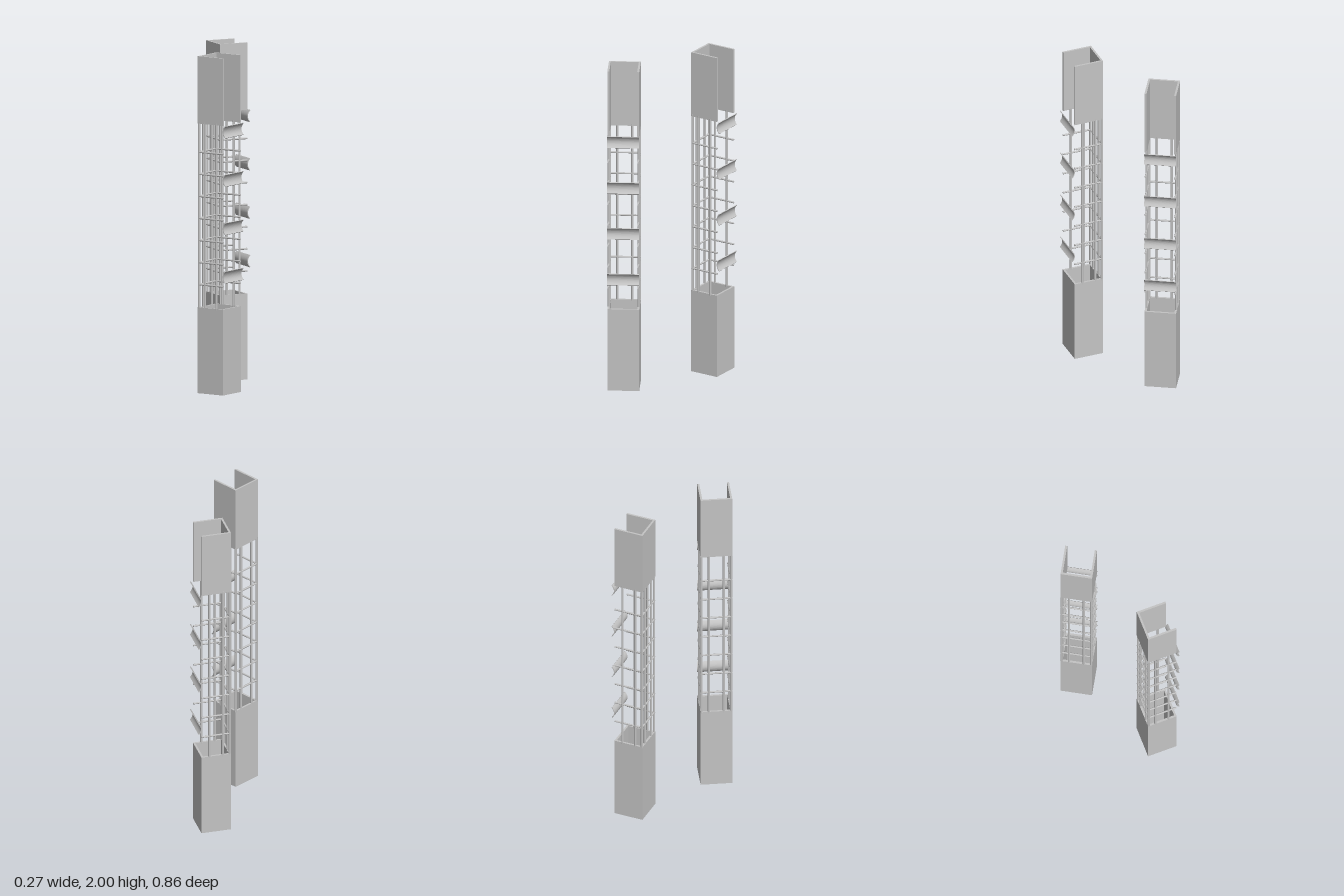
import * as THREE from 'three';

const DEPTH = 0.18, WIDTH = 0.188, WALL = 0.012;
const LOW_TOP = 0.51, HIGH_BASE = 1.6, TOP = 2;

export function createModel() {
  const grey = new THREE.MeshStandardMaterial({ color: 0xc4c4c4 });
  grey.name = 'lightGrey';

  const add = (parent, name, geometry, x = 0, y = 0, z = 0) => {
    const mesh = new THREE.Mesh(geometry, grey);
    mesh.name = name;
    mesh.position.set(x, y, z);
    parent.add(mesh);
  };

  // Extrude a plan outline (x, z) upwards from y0 to y1
  const upright = (shape, y0, y1) => {
    const g = new THREE.ExtrudeGeometry(shape, { depth: y1 - y0, bevelEnabled: false });
    return g.rotateX(-Math.PI / 2).translate(0, y0, 0);
  };
  const outline = (points) => points.map(([x, z]) => new THREE.Vector2(x, z));

  const a = DEPTH / 2, b = WIDTH / 2, ia = a - WALL, ib = b - WALL;

  // Closed square tube for the base
  const tube = new THREE.Shape(outline([[-a, -b], [a, -b], [a, b], [-a, b]]));
  tube.holes.push(new THREE.Path(outline([[-ia, -ib], [-ia, ib], [ia, ib], [ia, -ib]])));
  const tubeGeometry = upright(tube, 0, LOW_TOP);

  // Three-sided channel for the top, open towards local +x
  const channel = new THREE.Shape(outline([
    [-a, -b], [a, -b], [a, -ib], [-ia, -ib], [-ia, ib], [a, ib], [a, b], [-a, b],
  ]));
  const channelGeometry = upright(channel, HIGH_BASE, TOP);

  // Thin slat, hollow side outwards, swept along the open side
  const slat = new THREE.Shape();
  slat.moveTo(0.018, 0.034);
  slat.quadraticCurveTo(-0.012, 0, 0.018, -0.034);
  slat.lineTo(0.015, -0.037);
  slat.quadraticCurveTo(-0.018, 0, 0.015, 0.037);
  slat.closePath();
  const slatGeometry = new THREE.ExtrudeGeometry(slat, {
    depth: WIDTH, bevelEnabled: false, curveSegments: 14,
  }).translate(0, 0, -b);

  // Reinforcing bars
  const barLength = HIGH_BASE - LOW_TOP + 0.02;
  const verticalBar = new THREE.CylinderGeometry(0.007, 0.007, barLength, 12);
  const sideRod = new THREE.CylinderGeometry(0.0055, 0.0055, DEPTH, 10).rotateZ(Math.PI / 2);
  const backRod = new THREE.CylinderGeometry(0.0055, 0.0055, WIDTH, 10).rotateX(Math.PI / 2);

  const makePillar = (name, x, z, angle) => {
    const pillar = new THREE.Group();
    pillar.name = name;
    pillar.position.set(x, 0, z);
    pillar.rotation.y = angle;

    add(pillar, 'baseTube', tubeGeometry);
    add(pillar, 'topChannel', channelGeometry);

    const cx = a - WALL / 2, cz = b - WALL / 2;
    const midY = (LOW_TOP + HIGH_BASE) / 2;

    // Vertical bars at the back corners and quarter points of each closed side
    for (const side of [-1, 1]) {
      add(pillar, 'verticalBar', verticalBar, -cx, midY, side * cz);
      add(pillar, 'verticalBar', verticalBar, -cx, midY, side * cz * 0.5);
      for (const t of [-0.5, 0.48]) {
        add(pillar, 'verticalBar', verticalBar, cx * t, midY, side * cz);
      }
    }

    // Horizontal rods on the three closed sides
    for (let i = 0; i < 7; i++) {
      const y = 0.645 + i * 0.131;
      add(pillar, 'backRod', backRod, -cx, y, 0);
      for (const side of [-1, 1]) add(pillar, 'sideRod', sideRod, 0, y, side * cz);
    }

    // Slats across the open side
    for (let i = 0; i < 4; i++) {
      add(pillar, 'slat', slatGeometry, a, 0.702 + i * 0.287, 0);
    }
    return pillar;
  };

  const model = new THREE.Group();
  model.name = 'pillarPair';
  model.add(makePillar('frontPillar', -0.006, 0.292, -Math.PI / 6));
  model.add(makePillar('backPillar', -0.011, -0.294, Math.PI / 6));
  return model;
}
